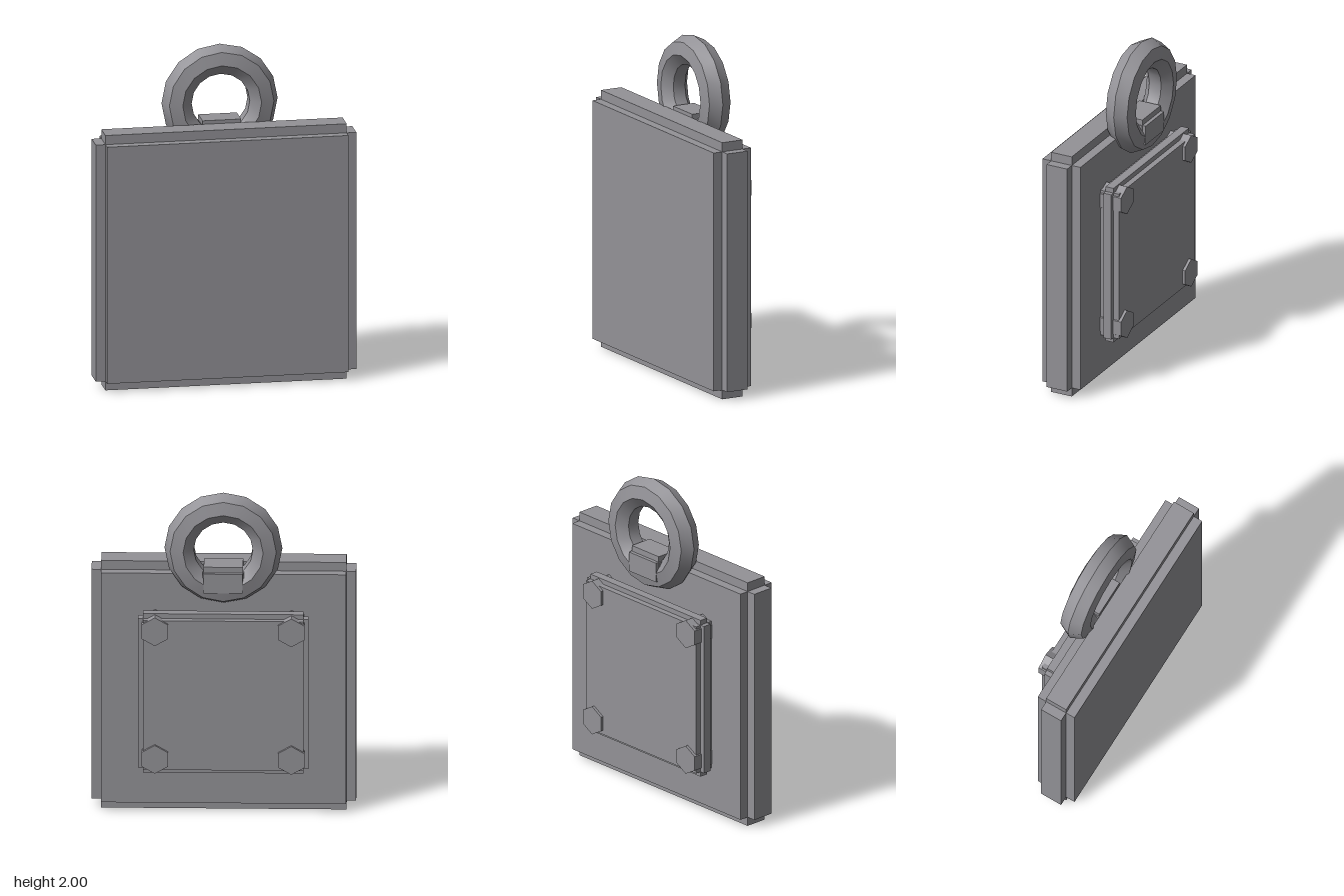
import * as THREE from 'three';
import { toCreasedNormals } from 'three/addons/utils/BufferGeometryUtils.js';

const material = new THREE.MeshStandardMaterial({ color: 0x939297 });

function addMesh(parent, name, geometry, x, y, z) {
  const mesh = new THREE.Mesh(geometry, material);
  mesh.name = name;
  mesh.position.set(x, y, z);
  parent.add(mesh);
  return mesh;
}

// Block with notched edges: three crossing boxes, each full size along one axis only.
// size = full extents, inset = how far the other two axes are cut back per side.
function notchedBlock(name, size, inset, y, z) {
  const group = new THREE.Group();
  group.name = name;
  ['Width', 'Height', 'Depth'].forEach((label, axis) => {
    const s = size.map((v, i) => (i === axis ? v : v - 2 * inset[i]));
    addMesh(group, name + label, new THREE.BoxGeometry(...s), 0, y, z);
  });
  return group;
}

export function createModel() {
  const model = new THREE.Group();
  model.name = 'hangingPlate';

  // Main slab and raised back cover
  model.add(notchedBlock('slab', [1.54, 1.54, 0.25], [0.057, 0.055, 0.057], 0.77, 0.07));
  model.add(notchedBlock('backCover', [0.99, 0.99, 0.124], [0.028, 0.03, 0.036], 0.772, -0.116));

  // Hexagonal bolts at the cover corners
  const bolt = toCreasedNormals(new THREE.CylinderGeometry(0.088, 0.088, 0.138, 6), 0.6).rotateX(Math.PI / 2);
  for (const x of [-0.397, 0.397]) {
    for (const y of [0.377, 1.173]) addMesh(model, 'bolt', bolt, x, y, -0.126);
  }

  // Hanging ring: smooth along its length, creased across its seven-sided section
  const ring = toCreasedNormals(new THREE.TorusGeometry(0.253, 0.09, 7, 16), 0.6);
  addMesh(model, 'ring', ring, 0, 1.657, -0.077);

  // Clip holding the ring to the slab
  model.add(notchedBlock('ringClip', [0.24, 0.19, 0.186], [0.006, 0.035, 0.022], 1.465, -0.073));

  return model;
}
